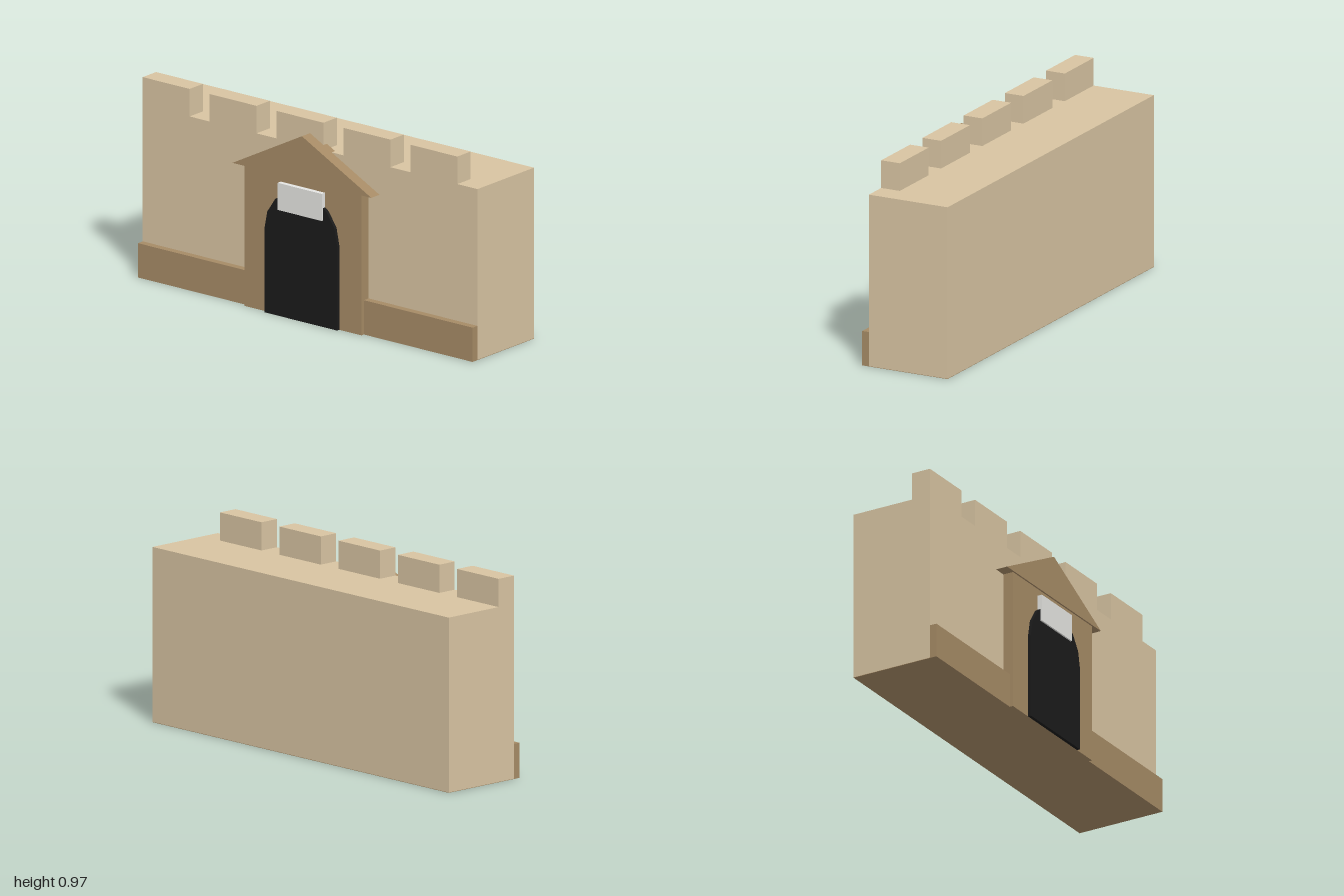
import * as THREE from 'three';

export function createModel() {
  const model = new THREE.Group();
  model.name = 'castleGate';

  const material = (name, color) => {
    const m = new THREE.MeshStandardMaterial({ color });
    m.name = name;
    return m;
  };
  const sandstone = material('sandstone', 0xd7c3a1);
  const brownStone = material('brown stone', 0xa58a65);
  const darkOpening = material('dark opening', 0x1a1a1a);
  const paleGrey = material('pale grey', 0xe4e4e1);

  const add = (name, geometry, mat) => {
    const mesh = new THREE.Mesh(geometry, mat);
    mesh.name = name;
    model.add(mesh);
  };
  // Box given by its lower and upper limits on each axis
  const addBox = (name, mat, [x0, x1], [y0, y1], [z0, z1]) => {
    const g = new THREE.BoxGeometry(x1 - x0, y1 - y0, z1 - z0);
    g.translate((x0 + x1) / 2, (y0 + y1) / 2, (z0 + z1) / 2);
    add(name, g, mat);
  };
  // Outline extruded between two depths
  const addExtrusion = (name, mat, shape, [z0, z1]) => {
    const g = new THREE.ExtrudeGeometry(shape, { depth: z1 - z0, bevelEnabled: false, curveSegments: 4 });
    g.translate(0, 0, z0);
    add(name, g, mat);
  };

  const wallFront = 0.17, wallBack = -0.245, wallTop = 0.833;

  // Main wall, with a thin footing under it and a plinth along the front
  addBox('wall', sandstone, [-1, 1], [0.002, wallTop], [wallBack, wallFront]);
  addBox('footing', brownStone, [-1, 1], [0, 0.002], [wallBack, wallFront]);
  addBox('plinth', brownStone, [-1, 1], [0, 0.167], [wallFront, 0.205]);

  // Battlements along the front edge
  for (let i = 0; i < 5; i++) {
    const x = -1 + i * 0.4;
    addBox('merlon', sandstone, [x, x + 0.28], [wallTop, 0.967], [0.072, wallFront]);
  }

  // Gate surround and its gabled top
  addBox('gateSurround', brownStone, [-0.35, 0.35], [0, 0.685], [wallFront, 0.222]);
  const gable = new THREE.Shape();
  gable.moveTo(-0.415, 0.685);
  gable.lineTo(0.415, 0.685);
  gable.lineTo(0, 0.9);
  gable.closePath();
  addExtrusion('gable', brownStone, gable, [0.145, 0.23]);

  // Arched opening
  const r = 0.217, spring = 0.411;
  const arch = new THREE.Shape();
  arch.moveTo(-r, 0);
  arch.lineTo(r, 0);
  arch.lineTo(r, spring);
  arch.absarc(0, spring, r, 0, Math.PI, false);
  arch.closePath();
  addExtrusion('archway', darkOpening, arch, [0.222, 0.238]);

  // Blank sign plate over the arch
  addBox('signPlate', paleGrey, [-0.132, 0.132], [0.518, 0.65], [0.222, 0.246]);

  return model;
}
